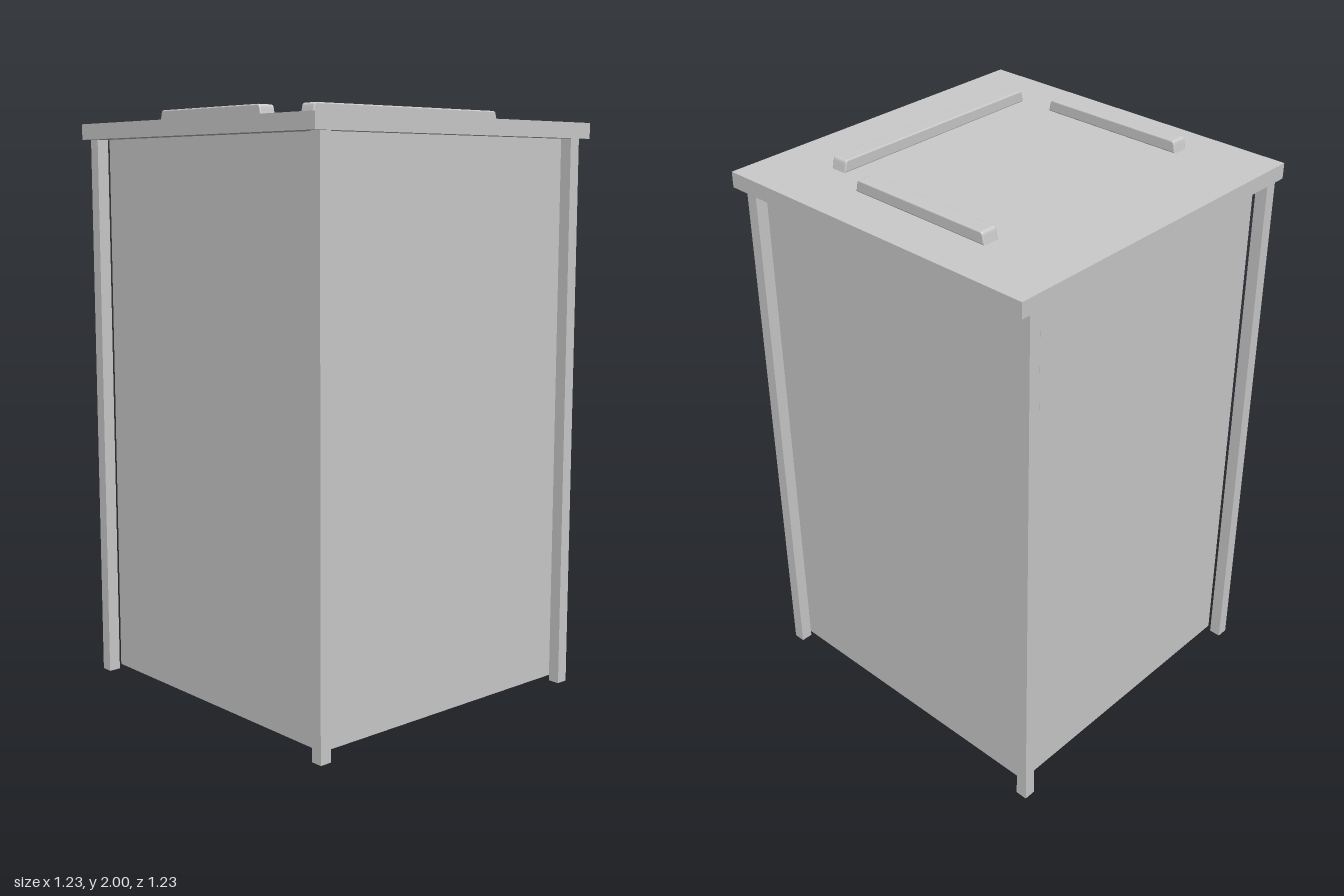
import * as THREE from 'three';

const material = new THREE.MeshStandardMaterial({ color: 0xcccccc, flatShading: true });

// Box given by its min and max corners
function box(name, [x0, y0, z0], [x1, y1, z1]) {
  const mesh = new THREE.Mesh(new THREE.BoxGeometry(x1 - x0, y1 - y0, z1 - z0), material);
  mesh.name = name;
  mesh.position.set((x0 + x1) / 2, (y0 + y1) / 2, (z0 + z1) / 2);
  return mesh;
}

// Raised bar with sloping ends, softened top corners and a fine bevel
function bar(name, length, x, z, turn = 0) {
  const h = 0.04, w = 0.059, bevel = 0.004, l = length / 2;
  const shape = new THREE.Shape();
  shape.moveTo(-l, 0);
  shape.lineTo(l, 0);
  shape.lineTo(l - 0.006, h - 0.012);
  shape.quadraticCurveTo(l - 0.008, h, l - 0.018, h);
  shape.lineTo(-l + 0.018, h);
  shape.quadraticCurveTo(-l + 0.008, h, -l + 0.006, h - 0.012);
  shape.closePath();
  const geometry = new THREE.ExtrudeGeometry(shape, {
    depth: w - 2 * bevel, bevelThickness: bevel, bevelSize: bevel,
    bevelOffset: -bevel, bevelSegments: 2, curveSegments: 4,
  });
  geometry.translate(0, 0, -w / 2 + bevel);
  const mesh = new THREE.Mesh(geometry, material);
  mesh.name = name;
  mesh.position.set(x, 1.96, z);
  mesh.rotation.y = turn;
  return mesh;
}

export function createModel() {
  const group = new THREE.Group();
  group.name = 'cabinet';

  // Main body, held just above the ground by the posts
  group.add(box('body', [-0.556, 0.02, -0.533], [0.561, 1.907, 0.544]));

  // Corner posts standing outside the body's edges
  for (const [x0, x1] of [[-0.608, -0.566], [0.561, 0.603]]) {
    for (const [z0, z1] of [[-0.575, -0.533], [0.544, 0.586]]) {
      group.add(box('cornerPost', [x0, 0, z0], [x1, 1.907, z1]));
    }
  }

  // Thin flap high on one side
  group.add(box('sideFlap', [-0.566, 1.455, -0.485], [-0.556, 1.895, 0.476]));

  // Overhanging lid and its three raised bars
  group.add(box('lid', [-0.616, 1.907, -0.616], [0.616, 1.96, 0.616]));
  group.add(bar('frontBar', 0.54, -0.047, 0.467));
  group.add(bar('backBar', 0.54, -0.047, -0.419));
  group.add(bar('sideBar', 0.826, 0.375, 0.029, Math.PI / 2));

  return group;
}
